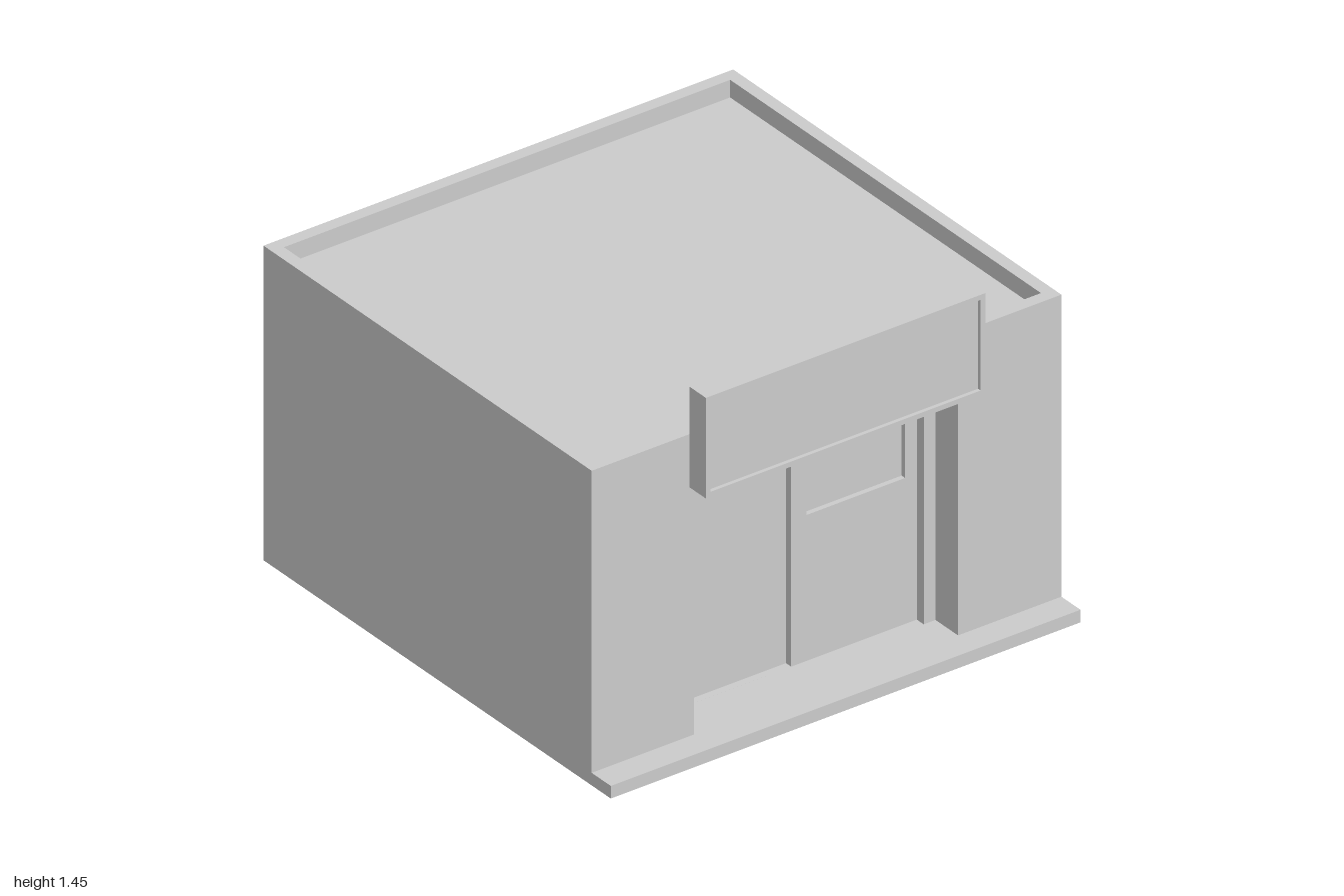
import * as THREE from 'three';

const material = new THREE.MeshStandardMaterial({ color: 0xcccccc, side: THREE.DoubleSide, flatShading: true });

function add(parent, name, geometry, x = 0, y = 0, z = 0) {
  const mesh = new THREE.Mesh(geometry, material);
  mesh.name = name;
  mesh.position.set(x, y, z);
  parent.add(mesh);
  return mesh;
}

// Box given by its limits on each axis
function box(parent, name, [x0, x1], [y0, y1], [z0, z1]) {
  return add(parent, name, new THREE.BoxGeometry(x1 - x0, y1 - y0, z1 - z0),
    (x0 + x1) / 2, (y0 + y1) / 2, (z0 + z1) / 2);
}

function trace(path, [x0, x1, y0, y1]) {
  path.moveTo(x0, y0);
  path.lineTo(x1, y0);
  path.lineTo(x1, y1);
  path.lineTo(x0, y1);
  path.closePath();
  return path;
}

// Flat sheet facing +z with rectangular openings
function sheet(parent, name, rect, z, holes = []) {
  const shape = trace(new THREE.Shape(), rect);
  shape.holes = holes.map(h => trace(new THREE.Path(), h));
  return add(parent, name, new THREE.ShapeGeometry(shape), 0, 0, z);
}

// Four inward-facing sides of a rectangular opening between two depths
function reveal(parent, name, [x0, x1, y0, y1], zBack, zFront) {
  const group = new THREE.Group();
  group.name = name;
  parent.add(group);
  const d = zFront - zBack, zc = (zFront + zBack) / 2;
  const w = x1 - x0, h = y1 - y0, xc = (x0 + x1) / 2, yc = (y0 + y1) / 2;
  for (const s of [-1, 1]) {
    add(group, name + 'Side', new THREE.PlaneGeometry(d, h), xc + s * w / 2, yc, zc).rotation.y = -s * Math.PI / 2;
    add(group, name + 'Edge', new THREE.PlaneGeometry(w, d), xc, yc + s * h / 2, zc).rotation.x = s * Math.PI / 2;
  }
}

export function createModel() {
  const model = new THREE.Group();
  model.name = 'shop';
  const front = 0.89, top = 1.25, roofY = 1.18;
  const frameZ = 0.76, doorZ = 0.72, panelZ = 0.69;

  // Hollow outer walls, open underneath
  const walls = new THREE.Group();
  walls.name = 'walls';
  model.add(walls);
  const alcove = [-0.565, 0.56, 0.05, 1.05];
  const wallOutline = trace(new THREE.Shape(), [-1, 1, 0, top]);
  wallOutline.holes = [trace(new THREE.Path(), alcove)];
  add(walls, 'frontWall', new THREE.ShapeGeometry(wallOutline), 0, 0, front);
  add(walls, 'backWall', new THREE.PlaneGeometry(2, top), 0, top / 2, -1).rotation.y = Math.PI;
  for (const s of [-1, 1]) {
    add(walls, 'sideWall', new THREE.PlaneGeometry(front + 1, top), s, top / 2, (front - 1) / 2)
      .rotation.y = s * Math.PI / 2;
  }

  // Roof and parapet, laid out flat and then turned to face up
  const roof = new THREE.Group();
  roof.name = 'roof';
  roof.rotation.x = -Math.PI / 2;
  model.add(roof);
  const inner = [-0.95, 0.95, -0.84, 0.95];
  sheet(roof, 'parapetTop', [-1, 1, -front, 1], top, [inner]);
  reveal(roof, 'parapetInside', inner, roofY, top);
  sheet(roof, 'roofDeck', inner, roofY);

  // Front step and entrance floor
  box(model, 'frontStep', [-1, 1], [0, 0.05], [front, 1]);
  box(model, 'entranceFloor', [alcove[0], alcove[1]], [0, 0.05], [panelZ, front]);

  // Recessed entrance: alcove, frame, doors
  const entrance = new THREE.Group();
  entrance.name = 'entrance';
  model.add(entrance);
  const doorway = [-0.52, 0.51, 0.05, 1];
  const slidingPanel = [-0.47, -0.025, 0.05, 0.9];
  const window = [0.04, 0.46, 0.63, 0.9];
  reveal(entrance, 'alcoveSides', alcove, frameZ, front);
  sheet(entrance, 'doorFrame', alcove, frameZ, [doorway]);
  reveal(entrance, 'doorFrameInside', doorway, doorZ, frameZ);
  sheet(entrance, 'fixedDoor', doorway, doorZ, [[-0.47, -0.025, 0.0501, 0.9], window]);
  reveal(entrance, 'slidingDoorRecess', slidingPanel, panelZ, doorZ);
  sheet(entrance, 'slidingDoor', slidingPanel, panelZ);
  reveal(entrance, 'windowRecess', window, doorZ - 0.02, doorZ);
  sheet(entrance, 'windowPane', window, doorZ - 0.02);

  // Door header with a sloped upper face
  const profile = new THREE.Shape([[0, 0.9], [0.03, 0.9], [0.03, 0.965], [0, 1.03]]
    .map(([z, y]) => new THREE.Vector2(-z, y)));
  const header = add(entrance, 'doorHeader',
    new THREE.ExtrudeGeometry(profile, { depth: 1.06, bevelEnabled: false }), -0.53, 0, frameZ);
  header.rotation.y = Math.PI / 2;

  // Sign box with a recessed face and a batten frame behind
  const sign = new THREE.Group();
  sign.name = 'sign';
  model.add(sign);
  const rim = trace(new THREE.Shape(), [-0.595, 0.595, 1.05, 1.45]);
  rim.holes = [trace(new THREE.Path(), [-0.575, 0.575, 1.07, 1.43])];
  add(sign, 'signRim', new THREE.ExtrudeGeometry(rim, { depth: 0.095, bevelEnabled: false }), 0, 0, 0.905);
  box(sign, 'signPanel', [-0.575, 0.575], [1.07, 1.43], [0.905, 0.985]);
  for (const x of [-0.565, -0.475, -0.155, 0.155, 0.475, 0.565]) {
    box(sign, 'signBatten', [x - 0.01, x + 0.01], [1.07, 1.43], [front, 0.905]);
  }
  for (const y of [1.08, 1.42]) {
    box(sign, 'signRail', [-0.575, 0.575], [y - 0.01, y + 0.01], [front, 0.905]);
  }
  return model;
}
